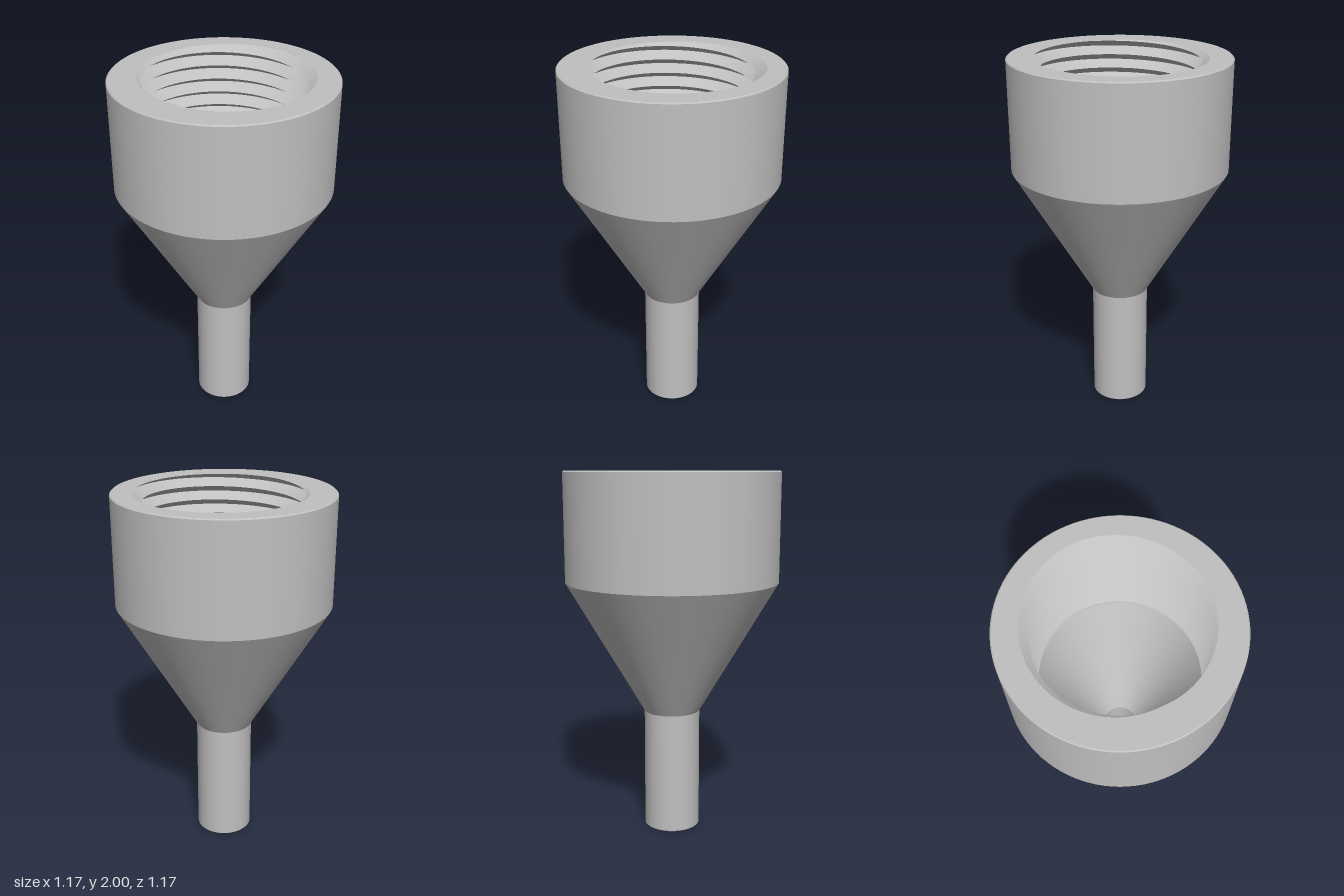
import * as THREE from 'three';
import { toCreasedNormals } from 'three/addons/utils/BufferGeometryUtils.js';

const SEG = 96;
const TOP = 2, FLOOR = 1.41;             // threaded socket height range
const OUTER = 0.583, STEM = 0.155, BORE = 0.093;
const CREST = 0.418, ROOT = 0.48, PITCH = 0.075;
const BEVEL = 0.006;

export function createModel() {
  const group = new THREE.Group();
  const grey = new THREE.MeshStandardMaterial({ color: 0xc0c0c0 });
  grey.name = 'grey';

  const add = (name, geometry) => {
    const mesh = new THREE.Mesh(geometry, grey);
    mesh.name = name;
    group.add(mesh);
  };
  // Each straight profile segment is its own lathe, so edges stay sharp
  const lathe = (name, ...points) => {
    const profile = points.map(([r, y]) => new THREE.Vector2(r, y));
    add(name, new THREE.LatheGeometry(profile, SEG));
  };

  // Outside, from the stem end up to the rim
  lathe('stemEnd', [BORE, 0], [STEM - BEVEL, 0]);
  lathe('stemBevel', [STEM - BEVEL, 0], [STEM, BEVEL]);
  lathe('stem', [STEM, BEVEL], [STEM, 0.68]);
  lathe('cone', [STEM, 0.68], [OUTER, FLOOR]);
  lathe('socketWall', [OUTER, FLOOR], [OUTER, TOP - BEVEL]);
  lathe('rimBevel', [OUTER, TOP - BEVEL], [OUTER - BEVEL, TOP]);

  // Inside, from the socket floor down through the stem
  lathe('innerCone', [CREST, FLOOR], [BORE, 0.68]);
  lathe('bore', [BORE, 0.68], [BORE, 0]);

  add('rimAndThread', threadGeometry());
  return group;
}

// Right-handed V thread, cut flat by the rim above and the socket floor below
function threadGeometry() {
  const halfTurns = Math.ceil((TOP - FLOOR + PITCH) / (PITCH / 2));
  const columns = [];
  for (let i = 0; i <= SEG; i++) {
    const turn = i / SEG, angle = turn * Math.PI * 2;
    const at = (r, y) => new THREE.Vector3(r * Math.cos(angle), y, -r * Math.sin(angle));
    const column = [at(OUTER - BEVEL, TOP)];
    for (let k = 0; k <= halfTurns; k++) {
      const y = THREE.MathUtils.clamp(TOP + PITCH * (turn - k / 2), FLOOR, TOP);
      const phase = (y - TOP) / PITCH - turn;              // whole numbers are roots
      const offRoot = 2 * Math.abs(phase - Math.round(phase));
      column.push(at(THREE.MathUtils.lerp(ROOT, CREST, offRoot), y));
    }
    column.push(at(CREST, FLOOR));
    columns.push(column);
  }

  const points = [];
  const triangle = (a, b, c) => {
    const area = b.clone().sub(a).cross(c.clone().sub(a)).length();
    if (area > 1e-9) points.push(a, b, c);                 // skip clipped slivers
  };
  for (let i = 0; i < SEG; i++) {
    const here = columns[i], next = columns[i + 1];
    for (let k = 0; k < here.length - 1; k++) {
      triangle(here[k], next[k], here[k + 1]);
      triangle(next[k], next[k + 1], here[k + 1]);
    }
  }
  const geometry = new THREE.BufferGeometry().setFromPoints(points);
  return toCreasedNormals(geometry, 0.4);
}
